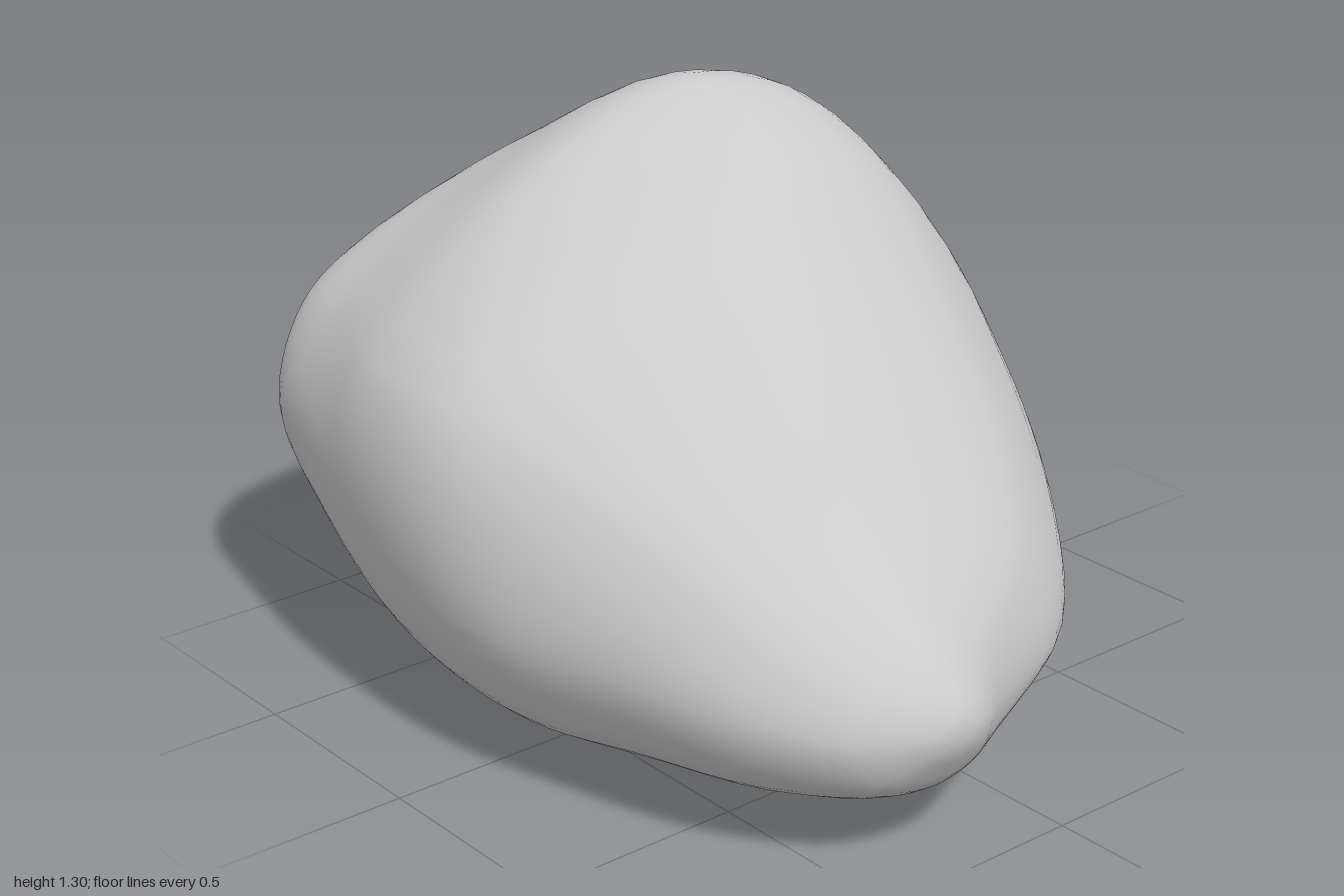
import * as THREE from 'three';
import { mergeVertices } from 'three/addons/utils/BufferGeometryUtils.js';

// Cross-sections from back to front: z, then eight x, y pairs going round
// (right, upper right, top, upper left, left, lower left, bottom, lower right)
const SECTIONS = [
  [-0.9, 0, 0.56, -0.06, 0.83, -0.3, 0.93, -0.6, 0.81, -0.7, 0.56, -0.6, 0.35, -0.35, 0.28, -0.1, 0.35],
  [-0.7, 0.43, 0.56, 0.37, 0.98, 0.04, 1.16, -0.61, 0.86, -0.76, 0.56, -0.65, 0.25, -0.25, 0.13, 0.15, 0.22],
  [-0.45, 0.74, 0.58, 0.55, 1.13, 0.11, 1.29, -0.73, 0.8, -0.81, 0.45, -0.67, 0.14, -0.2, 0.05, 0.37, 0.16],
  [-0.2, 0.84, 0.53, 0.56, 1.06, 0.2, 1.2, -0.74, 0.8, -0.835, 0.4, -0.69, 0.1, -0.25, 0, 0.37, 0.08],
  [0.1, 0.75, 0.42, 0.48, 0.84, 0.05, 0.98, -0.68, 0.74, -0.83, 0.37, -0.7, 0.11, -0.25, 0.02, 0.33, 0.06],
  [0.4, 0.57, 0.3, 0.37, 0.64, -0.1, 0.79, -0.61, 0.66, -0.76, 0.37, -0.66, 0.15, -0.25, 0.045, 0.27, 0.08],
  [0.7, 0.29, 0.25, 0.14, 0.5, -0.25, 0.62, -0.54, 0.54, -0.66, 0.34, -0.58, 0.17, -0.25, 0.09, 0.1, 0.13],
  [0.9, -0.09, 0.28, -0.14, 0.4, -0.3, 0.48, -0.46, 0.42, -0.52, 0.31, -0.46, 0.2, -0.28, 0.15, -0.14, 0.19],
];
const BACK_TIP = new THREE.Vector3(-0.4, 0.57, -1);
const FRONT_TIP = new THREE.Vector3(-0.3, 0.32, 1);
const AROUND = 64, ALONG = 64;

// Smooth closed ring through one section
function ring([z, ...xy]) {
  const points = [];
  for (let i = 0; i < xy.length; i += 2) points.push(new THREE.Vector3(xy[i], xy[i + 1], z));
  const curve = new THREE.CatmullRomCurve3(points, true, 'centripetal');
  return Array.from({ length: AROUND }, (_, j) => curve.getPoint(j / AROUND));
}

// Ring shrunk towards a tip, which rounds off the end
function capRing(source, tip, size, depth) {
  return source.map((p) => new THREE.Vector3(
    THREE.MathUtils.lerp(tip.x, p.x, size),
    THREE.MathUtils.lerp(tip.y, p.y, size),
    THREE.MathUtils.lerp(tip.z, p.z, depth)));
}

function stoneGeometry() {
  const body = SECTIONS.map(ring);
  const back = body[0], front = body[body.length - 1];
  const rings = [
    capRing(back, BACK_TIP, 0.28, 0.05), capRing(back, BACK_TIP, 0.65, 0.3),
    ...body,
    capRing(front, FRONT_TIP, 0.5, 0.3), capRing(front, FRONT_TIP, 0.22, 0.06),
  ];

  // Lengthwise curves from tip to tip
  const positions = [], index = [];
  for (let j = 0; j < AROUND; j++) {
    const curve = new THREE.CatmullRomCurve3(
      [BACK_TIP, ...rings.map((r) => r[j]), FRONT_TIP], false, 'centripetal');
    for (let i = 0; i <= ALONG; i++) positions.push(...curve.getPoint(i / ALONG).toArray());
  }
  const at = (i, j) => (j % AROUND) * (ALONG + 1) + i;
  for (let j = 0; j < AROUND; j++) {
    for (let i = 0; i < ALONG; i++) {
      const a = at(i, j), b = at(i, j + 1), c = at(i + 1, j + 1), d = at(i + 1, j);
      if (i > 0) index.push(a, b, d);
      if (i < ALONG - 1) index.push(b, c, d);
    }
  }
  let geometry = new THREE.BufferGeometry();
  geometry.setAttribute('position', new THREE.Float32BufferAttribute(positions, 3));
  geometry.setIndex(index);
  geometry = mergeVertices(geometry, 1e-5);

  // Rest the stone on the ground, centred
  geometry.computeBoundingBox();
  const { min, max } = geometry.boundingBox;
  geometry.translate(-(min.x + max.x) / 2, -min.y, -(min.z + max.z) / 2);
  geometry.computeVertexNormals();
  return geometry;
}

export function createModel() {
  const group = new THREE.Group();
  group.name = 'rock';
  const stone = new THREE.Mesh(stoneGeometry(),
    new THREE.MeshStandardMaterial({ color: 0xcccccc, roughness: 0.9 }));
  stone.name = 'stone';
  group.add(stone);
  return group;
}
